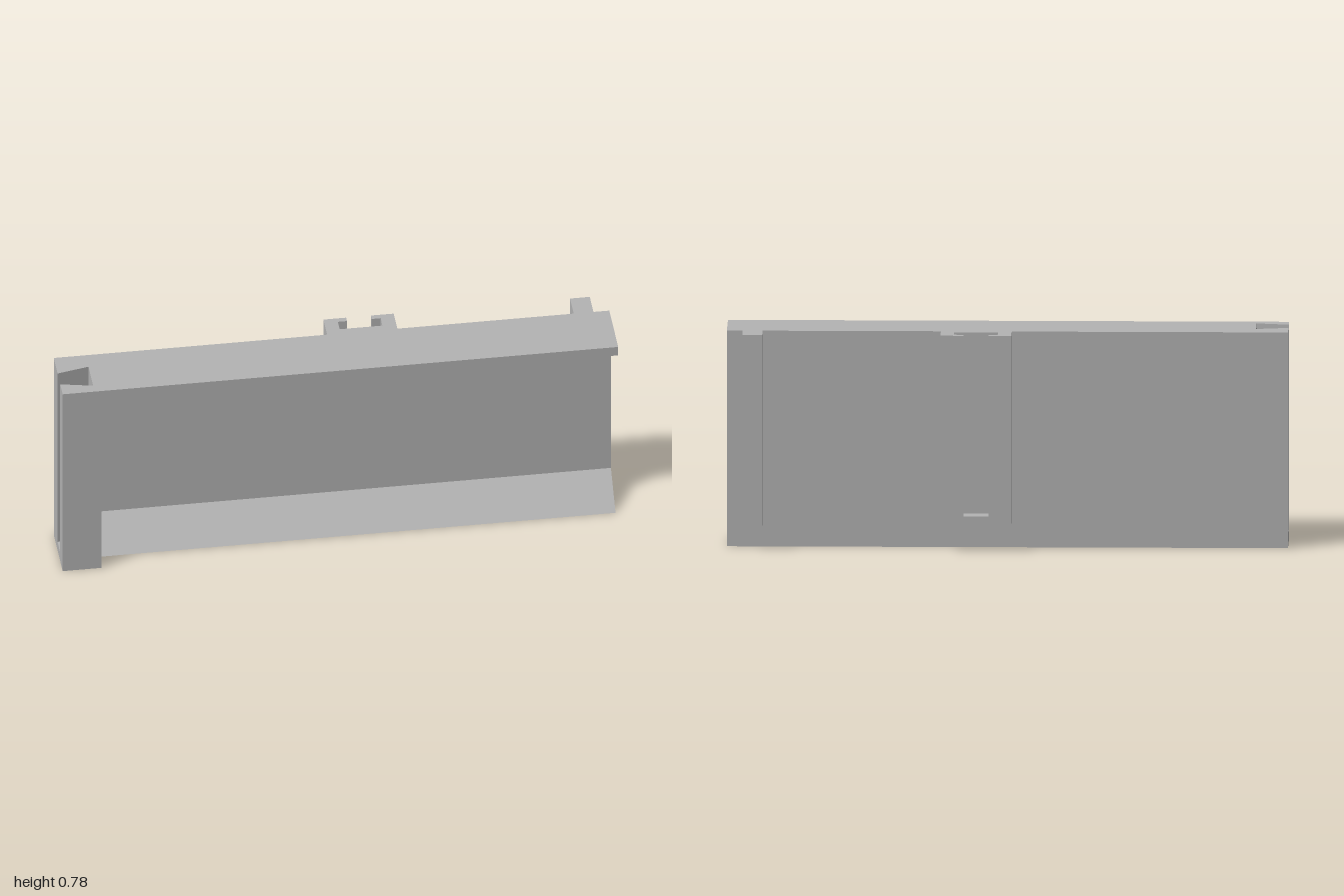
import * as THREE from 'three';

const H = 0.78;       // overall height
const BACK = -0.065;  // rear face of the panel
const RIB = -0.157;   // rear face of the mounts
const FRONT = 0.157;
const FLOOR = 0.037;  // thickness left under each slot

export function createModel() {
  const model = new THREE.Group();
  const grey = new THREE.MeshStandardMaterial({ color: 0xb3b3b3 });
  grey.name = 'grey';

  function add(name, geometry, parent = model) {
    const mesh = new THREE.Mesh(geometry, grey);
    mesh.name = name;
    parent.add(mesh);
  }
  function extrude(points, depth) {
    const shape = new THREE.Shape(points.map(([a, b]) => new THREE.Vector2(a, b)));
    return new THREE.ExtrudeGeometry(shape, { depth, bevelEnabled: false });
  }
  // Plan outline of [x, z] points raised from y0 to y1
  function upright(points, y0, y1) {
    return extrude(points.map(([x, z]) => [x, -z]), y1 - y0).rotateX(-Math.PI / 2).translate(0, y0, 0);
  }
  const rect = (x0, x1, z0, z1) => [[x0, z0], [x1, z0], [x1, z1], [x0, z1]];

  // Panel with top ledge and sloping foot, one [z, y] section run along x
  const section = [
    [BACK, 0], [0.09, 0], [-0.025, 0.115], [-0.025, 0.743],
    [FRONT, 0.743], [FRONT, H], [BACK, H],
  ];
  add('panel', extrude(section.map(([z, y]) => [-z, y]), 1.86).rotateY(Math.PI / 2).translate(-0.86, 0, 0));

  // End post with a dovetail groove, closed at the bottom
  const post = new THREE.Group();
  post.name = 'endPost';
  model.add(post);
  add('groovedPost', upright([
    [-1, BACK], [-0.86, BACK], [-0.86, FRONT], [-1, FRONT],
    [-1, 0.096], [-0.885, 0.121], [-0.885, 0.005], [-1, 0.03],
  ], FLOOR, H), post);
  add('postFoot', upright(rect(-1, -0.86, BACK, FRONT), 0, FLOOR), post);

  // Rear bracket with a T slot, closed at the bottom
  const bracket = new THREE.Group();
  bracket.name = 'rearBracket';
  model.add(bracket);
  const y0 = 0.089;
  add('slottedBracket', upright([
    [-0.016, BACK], [0.237, BACK], [0.237, RIB], [0.155, RIB], [0.155, -0.136], [0.187, -0.136],
    [0.187, -0.091], [0.033, -0.091], [0.033, -0.136], [0.066, -0.136], [0.066, RIB], [-0.016, RIB],
  ], y0 + FLOOR, H), bracket);
  add('bracketFoot', upright(rect(-0.016, 0.237, RIB, BACK), y0, y0 + FLOOR), bracket);

  // Plain rib near the other end
  add('rearRib', upright(rect(0.872, 0.943, RIB, BACK), y0, H));

  return model;
}
